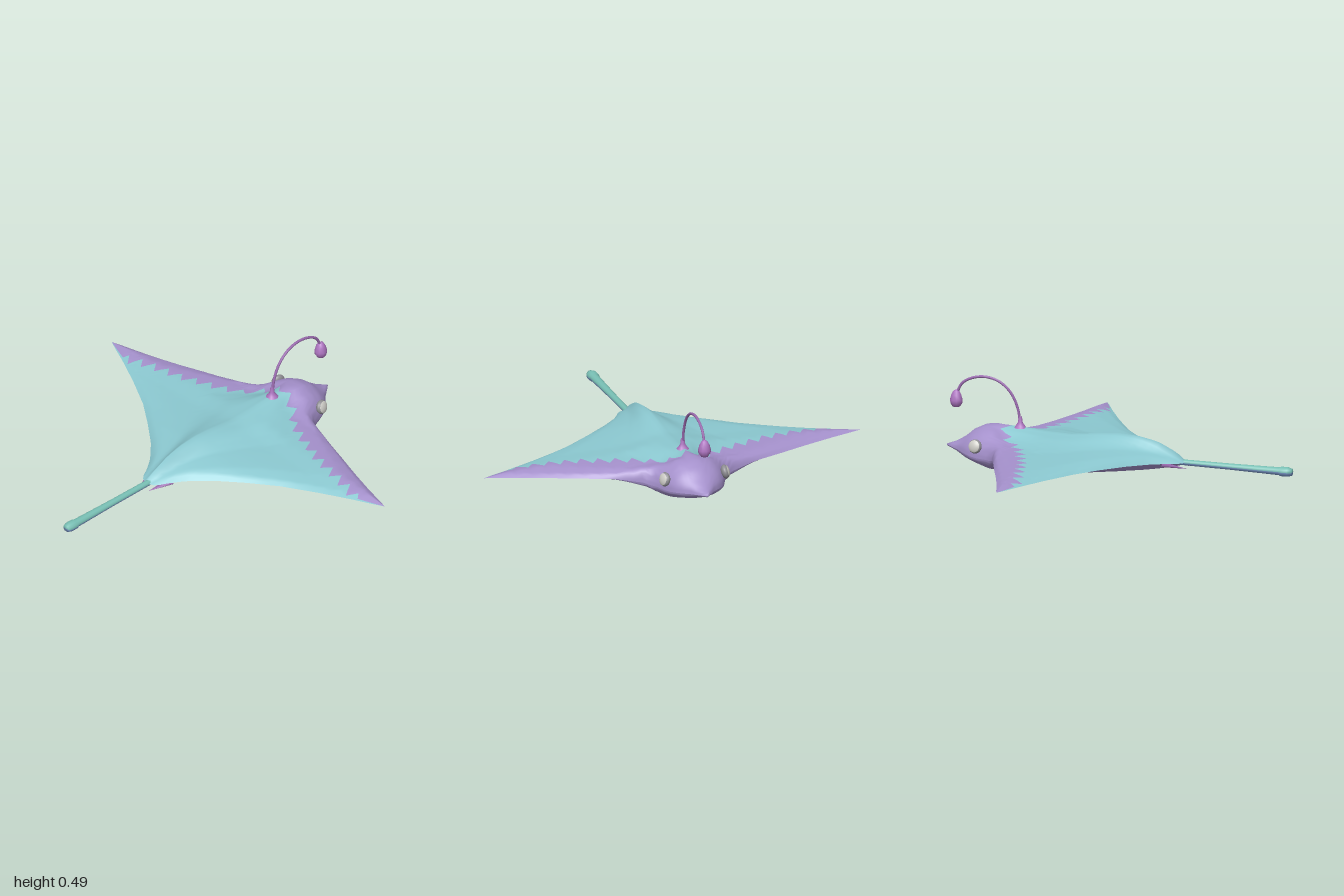
import * as THREE from 'three';

const mat = (name, color, side = THREE.FrontSide) => {
  const m = new THREE.MeshStandardMaterial({ color, side });
  m.name = name;
  return m;
};
const points = (list) => list.map(([x, y]) => new THREE.Vector2(x, y));

// piecewise linear lookup in a list of [key, value] pairs
function lerpTable(table, k) {
  if (k <= table[0][0]) return table[0][1];
  for (let i = 1; i < table.length; i++) {
    const [a, va] = table[i - 1], [b, vb] = table[i];
    if (k <= b) return va + (vb - va) * (k - a) / (b - a);
  }
  return table[table.length - 1][1];
}
const swap = (table) => table.map(([a, b]) => [b, a]);

// outline as [half width, z]: snout to wing tip, then tail root to wing tip
const leading = [[0, -0.905], [0.025, -0.875], [0.06, -0.83], [0.11, -0.785], [0.145, -0.74], [0.165, -0.69],
  [0.185, -0.64], [0.23, -0.6], [0.32, -0.57], [0.52, -0.505], [0.68, -0.45], [0.84, -0.4], [0.95, -0.37], [1, -0.355]];
const trailing = [[0, 0.35], [0.05, 0.33], [0.075, 0.28], [0.13, 0.2], [0.23, 0.1], [0.36, 0], [0.5, -0.1],
  [0.68, -0.2], [0.84, -0.28], [0.95, -0.33], [1, -0.355]];
const widthAt = (z) => (z < -0.355 ? lerpTable(swap(leading), z) : lerpTable(swap(trailing).reverse(), z));

// centre line heights and rim height along z
const backLine = [[-0.905, 0.125], [-0.85, 0.145], [-0.8, 0.175], [-0.76, 0.21], [-0.7, 0.238], [-0.62, 0.246],
  [-0.5, 0.238], [-0.38, 0.225], [-0.25, 0.218], [-0.1, 0.235], [0, 0.24], [0.1, 0.232], [0.2, 0.21], [0.28, 0.17], [0.35, 0.125]];
const bellyLine = [[-0.905, 0.115], [-0.85, 0.1], [-0.8, 0.075], [-0.7, 0.04], [-0.64, 0.018], [-0.56, 0.007],
  [-0.45, 0], [-0.3, 0.015], [-0.1, 0.035], [0.1, 0.055], [0.2, 0.07], [0.3, 0.09], [0.35, 0.105]];
const rimLine = [[-0.905, 0.12], [-0.8, 0.108], [-0.7, 0.098], [-0.62, 0.1], [-0.55, 0.13], [-0.36, 0.141], [0, 0.132], [0.35, 0.113]];

// height falloff from centre line to rim
const backFall = [[0, 1], [0.03, 0.94], [0.1, 0.85], [0.2, 0.62], [0.3, 0.47], [0.5, 0.4], [0.7, 0.34], [0.9, 0.18], [1, 0]];
const bellyFall = [[0, 1], [0.05, 0.98], [0.1, 0.9], [0.2, 0.67], [0.3, 0.43], [0.4, 0.27], [0.6, 0.12], [0.8, 0.05], [1, 0]];

function heightAt(x, z, line, fall) {
  const w = widthAt(z), rim = lerpTable(rimLine, z);
  const u = w > 1e-5 ? Math.min(1, Math.abs(x) / w) : 1;
  const wing = THREE.MathUtils.smoothstep(z, -0.66, -0.52);
  const f = THREE.MathUtils.lerp(Math.sqrt(1 - u * u), lerpTable(fall, u), wing);
  return rim + (lerpTable(line, z) - rim) * f;
}

// zigzag edge between the front band and the back colour
const bandLine = [[0, -0.595], [0.1, -0.565], [0.2, -0.48], [0.3, -0.435], [0.4, -0.4], [0.5, -0.365],
  [0.6, -0.345], [0.7, -0.325], [0.8, -0.305], [0.9, -0.28], [1, -0.25]];
function bandEdge(x) {
  const ax = Math.abs(x), front = lerpTable(leading, ax), rear = lerpTable(trailing, ax);
  const tooth = 0.06 * Math.abs(((ax / 0.08) % 1) - 0.5) * 2 - 0.03;
  return Math.min(lerpTable(bandLine, ax) + tooth, rear - 0.1 * (rear - front));
}

// one skin of the body: a grid over the outline, front rows first
function skin(line, fall, up) {
  const cols = 100, front = 18, rows = 44, pos = [], idx = [];
  for (let j = 0; j <= rows; j++) {
    for (let i = 0; i <= cols; i++) {
      const x = -1 + 2 * i / cols, ax = Math.abs(x);
      const a = lerpTable(leading, ax), b = bandEdge(x), c = lerpTable(trailing, ax);
      const z = j <= front ? a + (b - a) * (j / front) ** 1.5 : b + (c - b) * (j - front) / (rows - front);
      pos.push(x, heightAt(x, z, line, fall), z);
    }
  }
  for (let j = 0; j < rows; j++) {
    for (let i = 0; i < cols; i++) {
      const p = j * (cols + 1) + i, q = p + 1, r = p + cols + 1, s = r + 1;
      if (up) idx.push(p, r, q, q, r, s);
      else idx.push(p, q, r, q, s, r);
    }
  }
  const g = new THREE.BufferGeometry();
  g.setAttribute('position', new THREE.Float32BufferAttribute(pos, 3));
  g.setIndex(idx);
  g.computeVertexNormals();
  g.addGroup(0, front * cols * 6, 0);
  g.addGroup(front * cols * 6, (rows - front) * cols * 6, 1);
  return g;
}

export function createModel() {
  const group = new THREE.Group();
  const purple = mat('lavender skin', 0xa490cb);
  const teal = mat('teal back', 0x8bc8d0);
  const tailTop = mat('tail green', 0x78bfb4, THREE.DoubleSide);
  const tailUnder = mat('tail blue', 0x7895c6, THREE.DoubleSide);
  const violet = mat('stalk violet', 0x9b6bb0);
  const bulbMat = mat('bulb violet', 0xad74c0);
  const eyeRim = mat('eye rim grey', 0x8e8d92);
  const eyeMat = mat('eye pale grey', 0xcdccc6);

  const add = (name, geo, material, x = 0, y = 0, z = 0, parent = group) => {
    const m = new THREE.Mesh(geo, material);
    m.name = name;
    m.position.set(x, y, z);
    parent.add(m);
    return m;
  };

  // body skins
  add('back', skin(backLine, backFall, true), [purple, teal]);
  add('belly', skin(bellyLine, bellyFall, false), [purple, purple]);

  // tail in upper and lower halves, with a blunt tip
  const tail = new THREE.Group();
  tail.name = 'tail';
  tail.position.set(0, 0.113, 0.28);
  tail.rotation.x = 0.024;
  tail.scale.y = 0.85;
  group.add(tail);
  const profile = points([[0.017, 0], [0.019, 0.3], [0.022, 0.46], [0.024, 0.555], [0.029, 0.565], [0.029, 0.6], [0.021, 0.622], [0, 0.624]]);
  for (const [name, m, start] of [['tailUpper', tailTop, Math.PI / 2], ['tailLower', tailUnder, -Math.PI / 2]]) {
    const half = new THREE.LatheGeometry(profile, 6, start, Math.PI);
    half.rotateX(Math.PI / 2); // axis onto +z
    add(name, half, m, 0, 0, 0, tail);
  }

  // eyes and small pointed rear fins, mirrored
  for (const s of [-1, 1]) {
    const eye = new THREE.Group();
    eye.name = s > 0 ? 'leftEye' : 'rightEye';
    eye.position.set(s * 0.16, 0.16, -0.71);
    eye.rotation.set(0, s * 0.25, s * 0.25);
    eye.scale.x = 0.6;
    group.add(eye);
    add('eyeball', new THREE.SphereGeometry(0.036, 20, 14), eyeRim, 0, 0, 0, eye);
    const cap = new THREE.SphereGeometry(0.038, 20, 8, 0, Math.PI * 2, 0, 0.95);
    cap.rotateZ(-s * Math.PI / 2); // cap faces outward
    add('eyeFront', cap, eyeMat, 0, 0, 0, eye);

    const cone = new THREE.ConeGeometry(0.026, 0.13, 8);
    cone.rotateX(Math.PI / 2); // point backward
    cone.scale(1, 0.5, 1);
    const fin = add('rearFin', cone, violet, s * 0.048, 0.098, 0.3);
    fin.rotation.set(0.2, -s * 0.3, 0);
  }

  // lure: flared root, arched stalk, bulb
  add('lureRoot', new THREE.LatheGeometry(points([[0.032, 0], [0.022, 0.012], [0.012, 0.028], [0.009, 0.06]]), 10),
    bulbMat, 0, 0.233, -0.52);
  const arch = new THREE.CatmullRomCurve3([[0.25, -0.52], [0.33, -0.533], [0.41, -0.57], [0.463, -0.63], [0.483, -0.7],
    [0.474, -0.77], [0.442, -0.825], [0.395, -0.85]].map(([y, z]) => new THREE.Vector3(0, y, z)));
  add('lureStalk', new THREE.TubeGeometry(arch, 32, 0.007, 8), violet);
  add('lureBulb', new THREE.LatheGeometry(
    points([[0, -0.046], [0.02, -0.042], [0.031, -0.025], [0.033, -0.008], [0.026, 0.018], [0.015, 0.038], [0, 0.046]]), 10),
  bulbMat, 0, 0.363, -0.855);

  return group;
}
